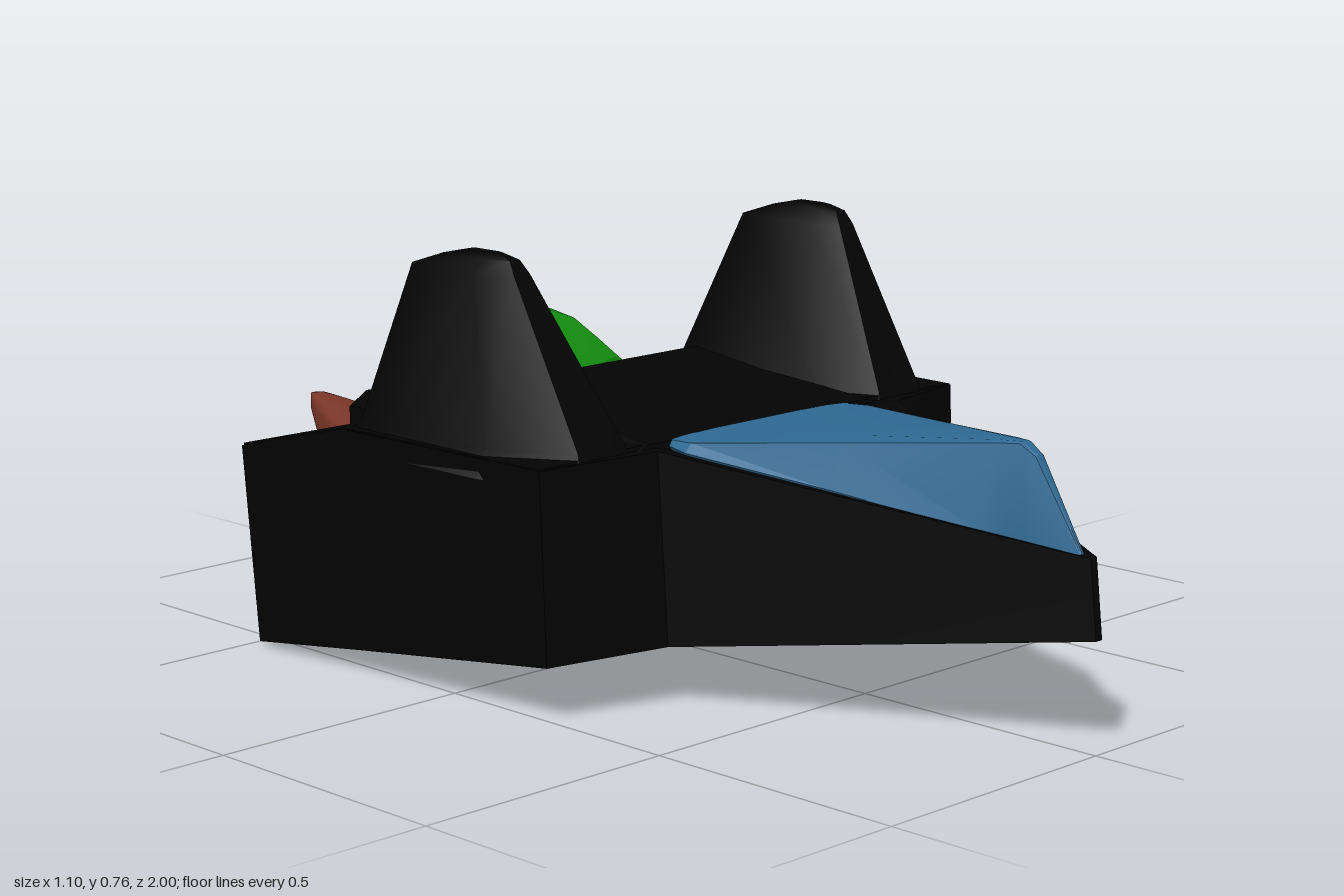
import * as THREE from 'three';
import { toCreasedNormals, mergeVertices } from 'three/addons/utils/BufferGeometryUtils.js';

// Closed skin through rings of [x, y, z] points with equal counts, fan caps at both ends
function loft(rings, crease = 0.5) {
  const n = rings[0].length, pos = rings.flat(2), idx = [];
  for (let r = 0; r < rings.length - 1; r++) {
    for (let i = 0; i < n; i++) {
      const a = r * n + i, b = r * n + (i + 1) % n;
      idx.push(a, b, b + n, a, b + n, a + n);
    }
  }
  [0, rings.length - 1].forEach((r) => {
    const c = pos.length / 3;
    for (let k = 0; k < 3; k++) pos.push(rings[r].reduce((s, p) => s + p[k], 0) / n);
    for (let i = 0; i < n; i++) {
      const a = r * n + i, b = r * n + (i + 1) % n;
      if (r === 0) idx.push(c, b, a); else idx.push(c, a, b);
    }
  });
  // a negative volume means the skin is inside out
  const vert = (i) => new THREE.Vector3().fromArray(pos, i * 3);
  let volume = 0;
  for (let i = 0; i < idx.length; i += 3) {
    volume += vert(idx[i]).dot(vert(idx[i + 1]).cross(vert(idx[i + 2])));
  }
  if (volume < 0) idx.reverse();
  const g = new THREE.BufferGeometry();
  g.setAttribute('position', new THREE.Float32BufferAttribute(pos, 3));
  g.setIndex(idx);
  return toCreasedNormals(mergeVertices(g), crease);
}

// Mirror the +x half of a ring into a full loop
const mirrorRing = (half) => [
  ...half,
  ...half.filter((p) => p[0] > 0).reverse().map(([x, y, z]) => [-x, y, z]),
];

export function createModel() {
  const group = new THREE.Group();
  const mat = (color) => new THREE.MeshStandardMaterial({ color, side: THREE.DoubleSide });
  const black = mat(0x030303), blue = mat(0x2f6a94), green = mat(0x149010), red = mat(0x7a3628);
  const add = (name, geometry, material) => {
    const m = new THREE.Mesh(geometry, material);
    m.name = name;
    group.add(m);
  };

  // Wedge hull: plan outline as [x, z at bottom, z at top, y at top], sloping underside
  const outline = [
    [0.008, 1, 0.985, 0.33], [0.305, 0.325, 0.3, 0.445], [0.52, 0.255, 0.24, 0.435],
    [0.535, -0.21, -0.25, 0.435], [0.55, -0.475, -0.513, 0.368],
    [0.32, -0.505, -0.545, 0.345], [0.24, -0.545, -0.585, 0.34],
  ];
  const floor = (z) => Math.max(0, 0.07 + 0.125 * z);
  add('hull', loft([
    mirrorRing(outline.map(([x, z]) => [x, floor(z), z])),
    mirrorRing(outline.map(([x, , z, y]) => [x, y, z])),
  ], 0.15), black);

  // Raised deck between the fins: [z, half width, height]
  const deck = [[0.25, 0.3, 0.444], [0, 0.28, 0.468], [-0.16, 0.275, 0.49],
    [-0.265, 0.27, 0.438], [-0.56, 0.24, 0.415]];
  add('deck', loft(deck.map(([z, w, y]) =>
    mirrorRing([[w + 0.02, 0.3, z], [w + 0.02, y - 0.025, z], [w - 0.02, y, z]])), 0.15), black);

  // Shoulders under the fins, sloping down to the rear
  for (const s of [1, -1]) {
    add(s > 0 ? 'leftShoulder' : 'rightShoulder', loft([
      [[0.26, 0.3, 0.24], [0.518, 0.3, 0.24], [0.518, 0.437, 0.24], [0.26, 0.444, 0.24]],
      [[0.26, 0.3, -0.25], [0.532, 0.3, -0.25], [0.532, 0.437, -0.25], [0.26, 0.445, -0.25]],
      [[0.24, 0.3, -0.55], [0.54, 0.3, -0.512], [0.546, 0.372, -0.512], [0.24, 0.355, -0.565]],
    ].map((r) => r.map(([x, y, z]) => [s * x, y, z])), 0.15), black);
  }

  // Tapered fins: each level is [y, inner x, outer x, front z, back z]
  const levels = [[0.4, 0.25, 0.53, 0.255, -0.275], [0.45, 0.268, 0.508, 0.238, -0.238],
    [0.73, 0.37, 0.45, 0.078, -0.157], [0.753, 0.385, 0.435, 0.062, -0.09],
    [0.762, 0.398, 0.422, 0.03, -0.05]];
  // chamfered at the front, nearly square at the rear
  const finPlan = [[1, 0.4], [0.35, 1], [-0.55, 1], [-1, 0.55], [-1, -0.85], [-0.85, -1], [0.92, -1], [1, -0.92]];
  for (const s of [1, -1]) {
    const rings = levels.map(([y, x0, x1, z0, z1]) => finPlan.map(([u, v]) =>
      [s * ((x0 + x1) / 2 + (u * (x1 - x0)) / 2), y, (z0 + z1) / 2 + (v * (z0 - z1)) / 2]));
    add(s > 0 ? 'leftFin' : 'rightFin', loft(rings, 0.9), black);
  }

  // Nose canopy: a lid tapering to a raised peak, then dropping to the tip
  // [z, shoulder half width, shoulder y, ridge half width, ridge y]
  const nose = [[0.24, 0.225, 0.435, 0.22, 0.447], [0.3, 0.24, 0.432, 0.225, 0.45],
    [0.55, 0.15, 0.394, 0.125, 0.474], [0.8, 0.062, 0.352, 0.03, 0.498],
    [0.84, 0.046, 0.346, 0.014, 0.5], [0.87, 0.034, 0.341, 0.01, 0.482], [0.962, 0.006, 0.326, 0.004, 0.335]];
  add('noseCanopy', loft(nose.map(([z, w, y, rw, ry]) =>
    mirrorRing([[w * 0.8, y - 0.06, z], [w, y, z], [rw, ry - 0.003, z], [rw * 0.5, ry, z], [0, ry, z]])), 0.4), blue);

  // Rear dome: flat lens-shaped sides under a pitched roof
  // [z, half width, base y, shoulder y, top y]
  const dome = [[-0.272, 0.02, 0.435, 0.44, 0.445], [-0.32, 0.218, 0.445, 0.455, 0.475],
    [-0.36, 0.207, 0.44, 0.49, 0.515], [-0.41, 0.194, 0.434, 0.522, 0.547],
    [-0.46, 0.18, 0.428, 0.535, 0.57], [-0.51, 0.165, 0.422, 0.532, 0.579],
    [-0.55, 0.153, 0.417, 0.505, 0.573], [-0.562, 0.15, 0.415, 0.49, 0.555]];
  add('rearDome', loft(dome.map(([z, w, b, sh, t]) => mirrorRing([
    [w * 0.9, b - 0.05, z], [w, b, z], [w * 0.9, sh, z], [w * 0.52, sh + (t - sh) * 0.6, z], [0, t, z],
  ])), 0.35), green);

  // Upswept tail spike, boxy at the root and keeled towards the tip: [z, half width, bottom y, top y]
  const tail = [[-0.52, 0.225, 0.055, 0.285], [-0.6, 0.212, 0.06, 0.288], [-0.68, 0.175, 0.072, 0.288],
    [-0.76, 0.125, 0.097, 0.288], [-0.84, 0.08, 0.14, 0.295], [-0.9, 0.055, 0.18, 0.305],
    [-0.95, 0.036, 0.222, 0.313], [-0.985, 0.02, 0.268, 0.318], [-1, 0.008, 0.3, 0.316]];
  add('tailSpike', loft(tail.map(([z, w, b, t], k) => Array.from({ length: 28 }, (_, i) => {
    const a = (i / 28) * Math.PI * 2, c = Math.cos(a), s = Math.sin(a);
    const power = s < 0 ? 0.38 + k * 0.08 : 0.4;
    const round = (v) => Math.sign(v) * Math.abs(v) ** power;
    return [0.01 + w * round(c), (b + t) / 2 + ((t - b) / 2) * round(s), z];
  })), 0.9), red);

  return group;
}
